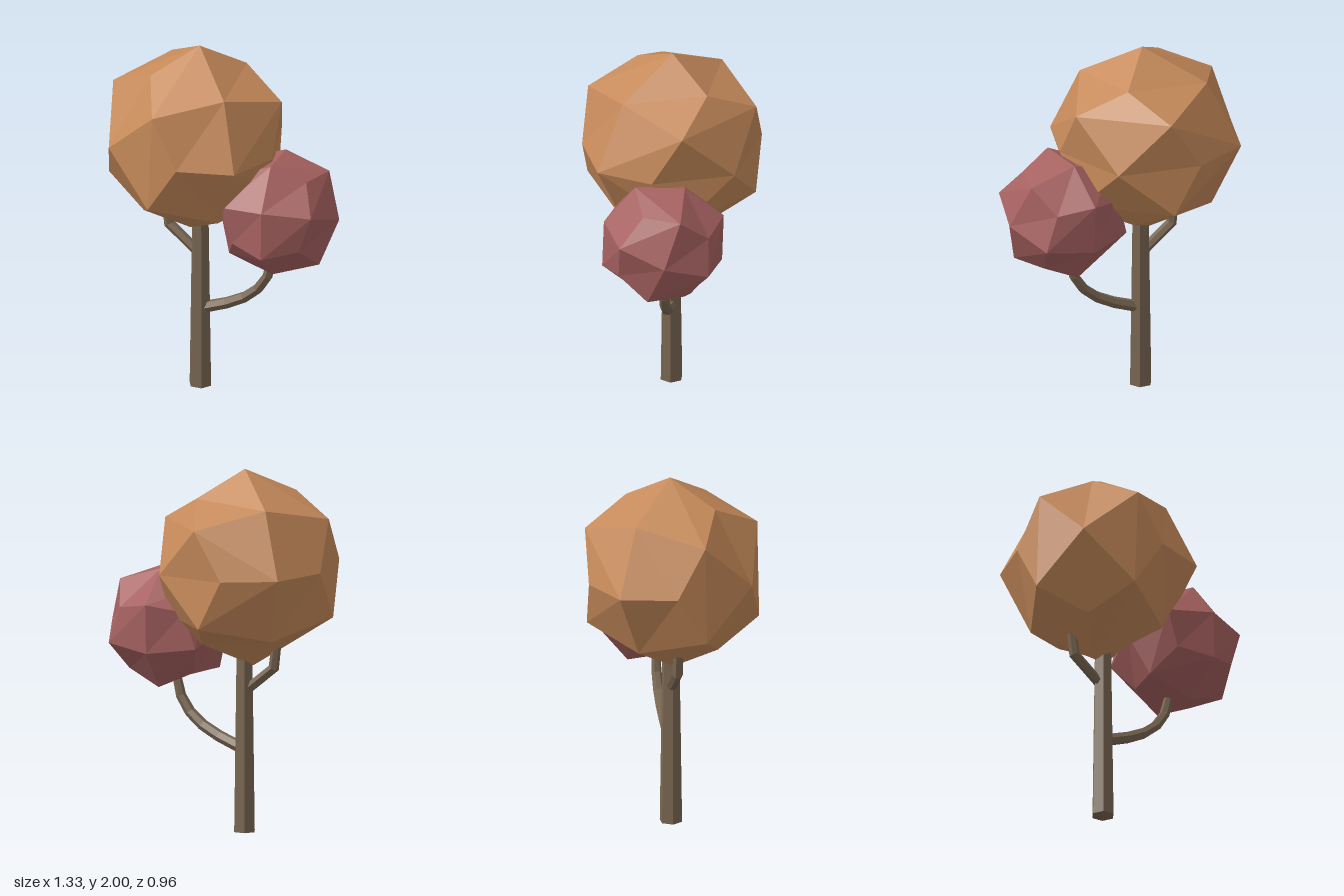
import * as THREE from 'three';

const mat = (color) => new THREE.MeshStandardMaterial({ color, flatShading: true });

// Faceted ball: a cube smoothed once into 24 kite-like faces
function foliage(name, radius, centre, xAxis, yAxis, material) {
  const geo = new THREE.BoxGeometry(2, 2, 2, 2, 2, 2);
  const pos = geo.attributes.position;
  const v = new THREE.Vector3();
  for (let i = 0; i < pos.count; i++) {
    v.fromBufferAttribute(pos, i);
    const n = v.toArray().filter((c) => Math.abs(c) > 0.5).length;
    v.multiplyScalar(radius * [0, 1, 0.75, 5 / 9][n]);
    pos.setXYZ(i, v.x, v.y, v.z);
  }
  // Orientation from two nearly perpendicular axes
  const x = new THREE.Vector3(...xAxis).normalize();
  const z = x.clone().cross(new THREE.Vector3(...yAxis)).normalize();
  const y = z.clone().cross(x);
  geo.applyMatrix4(new THREE.Matrix4().makeBasis(x, y, z));
  geo.computeVertexNormals();
  const mesh = new THREE.Mesh(geo, material);
  mesh.name = name;
  mesh.position.set(...centre);
  return mesh;
}

// Six-sided limb swept along a bent path of [x, y, radius] in the z = 0 plane
function branch(name, path, material) {
  const sides = 6, verts = [], index = [];
  path.forEach(([px, py, r], i) => {
    const a = path[Math.max(i - 1, 0)], b = path[Math.min(i + 1, path.length - 1)];
    const t = new THREE.Vector2(b[0] - a[0], b[1] - a[1]).normalize();
    for (let k = 0; k < sides; k++) {
      const ang = (k / sides) * Math.PI * 2 + Math.PI / 2;
      const n = Math.cos(ang) * r;
      verts.push(px - t.y * n, py + t.x * n, Math.sin(ang) * r);
      if (i > 0) {
        const k2 = (k + 1) % sides, lo = (i - 1) * sides, hi = i * sides;
        index.push(lo + k, lo + k2, hi + k2, lo + k, hi + k2, hi + k);
      }
    }
  });
  const geo = new THREE.BufferGeometry();
  geo.setAttribute('position', new THREE.Float32BufferAttribute(verts, 3));
  geo.setIndex(index);
  geo.computeVertexNormals();
  const mesh = new THREE.Mesh(geo, material);
  mesh.name = name;
  return mesh;
}

export function createModel() {
  const tree = new THREE.Group();
  tree.name = 'tree';
  const bark = mat(0x7a6752);
  bark.side = THREE.DoubleSide;

  // Tapered hexagonal trunk
  const trunkGeo = new THREE.CylinderGeometry(0.046, 0.064, 1.2, 6);
  trunkGeo.rotateY(Math.PI / 6);
  const trunk = new THREE.Mesh(trunkGeo, bark);
  trunk.name = 'trunk';
  trunk.position.set(-0.15, 0.6, 0);
  tree.add(trunk);

  // Curved branch to the small crown, bent twig to the large one
  tree.add(branch('curvedBranch', [
    [-0.14, 0.46, 0.033], [-0.1, 0.47, 0.033], [0.01, 0.51, 0.032], [0.114, 0.562, 0.031],
    [0.193, 0.626, 0.03], [0.25, 0.711, 0.028], [0.272, 0.8, 0.025], [0.28, 0.9, 0.023],
  ], bark));
  tree.add(branch('bentTwig', [
    [-0.15, 0.77, 0.028], [-0.335, 0.918, 0.03], [-0.365, 1.15, 0.025],
  ], bark));

  // Crowns
  tree.add(foliage('largeCrown', 0.51, [-0.18, 1.46, 0],
    [0.549, 0.686, 0.47], [-0.471, 0.726, -0.47], mat(0xc68a5a)));
  tree.add(foliage('smallCrown', 0.342, [0.32, 1.105, 0],
    [0.99, 0, -0.117], [-0.06, 0.955, -0.35], mat(0xa66160)));
  return tree;
}
